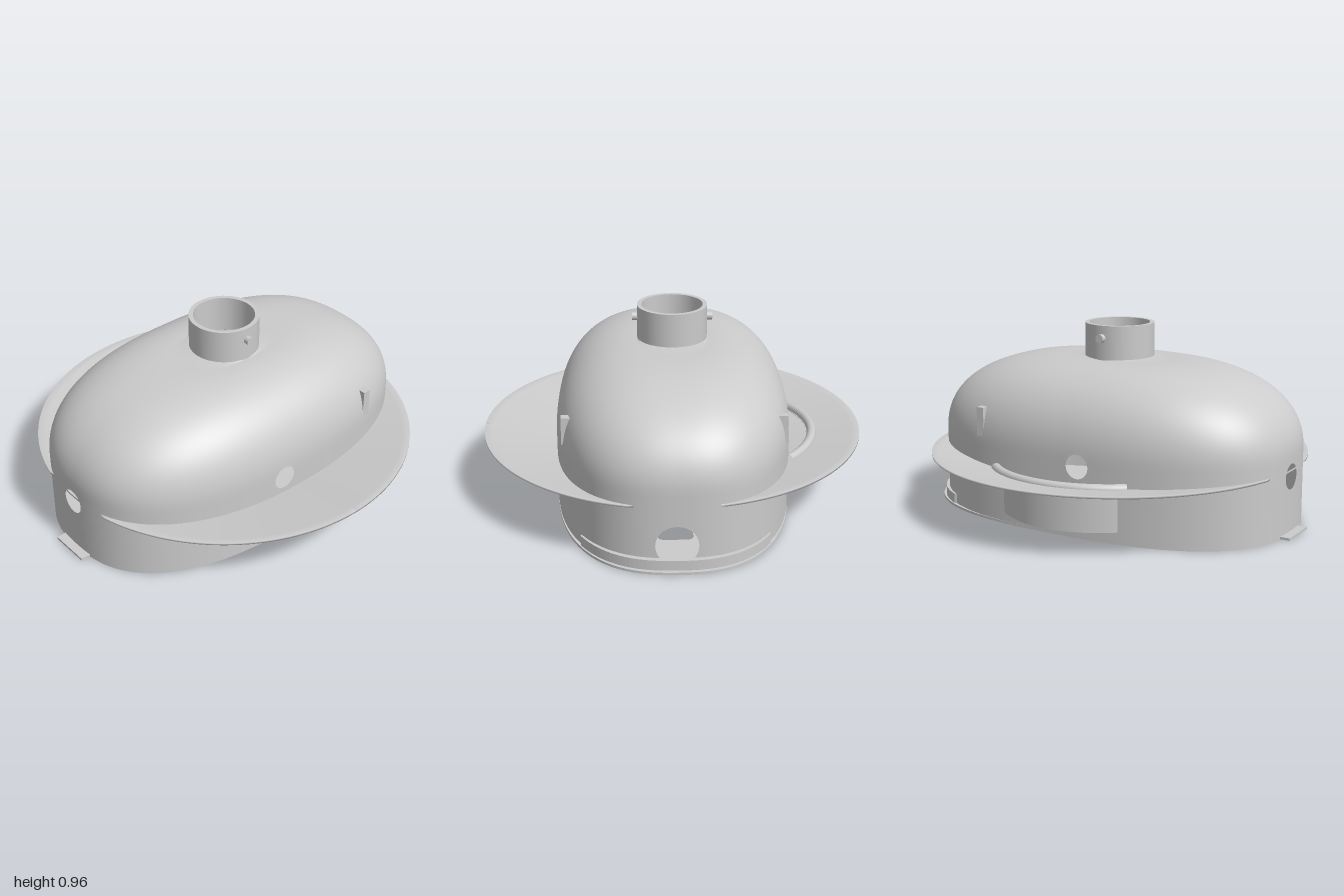
import * as THREE from 'three';

const A = 0.955, B = 0.585, N = 2.5; // footprint half sizes and roundness

// Point on the rounded oval footprint
function footprint(t, a = A, b = B) {
  const c = Math.cos(t), s = Math.sin(t);
  return [a * Math.sign(c) * Math.abs(c) ** (2 / N), b * Math.sign(s) * Math.abs(s) ** (2 / N)];
}
// Distance from centre to footprint along an angle
const reach = (t) => (Math.abs(Math.cos(t) / A) ** N + Math.abs(Math.sin(t) / B) ** N) ** (-1 / N);
const brimY = (r) => 0.322 - 0.06 * ((0.96 - r) / 0.375);

export function createModel() {
  const group = new THREE.Group();
  const solid = new THREE.MeshStandardMaterial({ color: 0xcccccc });
  const thin = new THREE.MeshStandardMaterial({ color: 0xcccccc, side: THREE.DoubleSide });
  const add = (name, geo, mat = solid) => {
    const m = new THREE.Mesh(geo, mat);
    m.name = name;
    group.add(m);
  };
  // Flat outline extruded upward
  const slab = (shape, y, h) => new THREE.ExtrudeGeometry(shape, { depth: h, bevelEnabled: false, curveSegments: 8 })
    .rotateX(-Math.PI / 2).translate(0, y, 0);
  // Hollow pipe along y, from 0 to h
  const pipe = (ro, ri, h) => new THREE.LatheGeometry(
    [[ri, 0], [ro, 0], [ro, 0], [ro, h], [ro, h], [ri, h], [ri, h], [ri, 0]].map((p) => new THREE.Vector2(...p)), 48);

  add('bodyShell', bodyGeometry(), thin);

  // Floor with two rounded windows
  const oval = [];
  for (let i = 0; i < 120; i++) oval.push(new THREE.Vector2(...footprint(i / 120 * Math.PI * 2, A - 0.012, B - 0.012)));
  const floorShape = new THREE.Shape(oval);
  for (const cx of [0.18, 0.62]) {
    const w = 0.085, r = 0.03, h = new THREE.Path();
    for (const [sx, sy, a] of [[1, 1, 0], [-1, 1, 1], [-1, -1, 2], [1, -1, 3]]) {
      h.absarc(cx + sx * (w - r), sy * (w - r), r, a * Math.PI / 2, (a + 1) * Math.PI / 2, false);
    }
    h.closePath();
    floorShape.holes.push(h);
  }
  add('floor', slab(floorShape, 0.006, 0.012));

  // Crescent flange and lip hugging the +x end
  const crescent = (T, off) => {
    const outer = [], inner = [];
    for (let i = 0; i <= 48; i++) {
      const t = -T + 2 * T * i / 48;
      outer.push(new THREE.Vector2(...footprint(t, A + off, B)));
      inner.push(new THREE.Vector2(...footprint(t, A - 0.01, B - 0.01)));
    }
    return new THREE.Shape([...outer, ...inner.reverse()]);
  };
  add('endFlange', slab(crescent(1.55, 0.045), 0, 0.012));
  add('endLip', slab(crescent(0.8, 0.026), 0.012, 0.05));
  add('endTab', new THREE.BoxGeometry(0.06, 0.012, 0.21).translate(-0.97, 0.008, 0));

  // Dished round brim, fitted to the body and dying into it at both x ends
  const profile = [];
  for (let i = 0; i <= 10; i++) profile.push(new THREE.Vector2(0.57 + 0.039 * i, 0));
  for (let i = 10; i >= 0; i--) profile.push(new THREE.Vector2(0.57 + 0.039 * i, -0.01));
  const brim = new THREE.LatheGeometry(profile, 160);
  const bp = brim.attributes.position;
  for (let i = 0; i < bp.count; i++) {
    const t = Math.atan2(bp.getZ(i), bp.getX(i)), edge = reach(t) * 0.995;
    const r = Math.abs(Math.sin(t)) < 0.21 ? edge : Math.max(Math.hypot(bp.getX(i), bp.getZ(i)), edge);
    bp.setXYZ(i, r * Math.cos(t), brimY(r) + bp.getY(i), r * Math.sin(t));
  }
  brim.computeVertexNormals();
  add('brim', brim, thin);

  // Rear curved guard under the brim, and the raised lip above it
  add('rearGuard', new THREE.CylinderGeometry(0.5, 0.5, 0.22, 32, 1, true, Math.PI - 0.72, 1.44)
    .translate(0, 0.17, -0.19), thin);
  const arc = [];
  for (let i = 0; i <= 16; i++) {
    const t = -0.78 + 1.56 * i / 16, x = 0.53 * Math.sin(t), z = -0.19 - 0.53 * Math.cos(t);
    arc.push(new THREE.Vector3(x, brimY(Math.hypot(x, z)) + 0.002, z));
  }
  add('rearLip', new THREE.TubeGeometry(new THREE.CatmullRomCurve3(arc), 40, 0.024, 12));

  // Neck with a pin on each side
  add('neck', pipe(0.175, 0.153, 0.183).translate(0, 0.78, 0));
  for (const s of [1, -1]) {
    add('neckPin', new THREE.CylinderGeometry(0.021, 0.021, 0.045, 20).rotateX(Math.PI / 2).translate(0, 0.9, s * 0.178));
    // Wedge-shaped side catch
    const wedge = new THREE.Shape([[-0.47, 0.565], [-0.54, 0.42], [-0.54, 0.565]].map((p) => new THREE.Vector2(...p)));
    const g = new THREE.ExtrudeGeometry(wedge, { depth: 0.04, bevelEnabled: false })
      .rotateY(Math.PI / 2).translate(-0.02, 0, 0);
    if (s < 0) g.rotateY(Math.PI);
    add('sideCatch', g.translate(0.485, 0, 0));
  }

  // Front spout and inner fittings
  add('frontSpout', pipe(0.053, 0.038, 0.2).rotateX(Math.PI / 2).translate(0, 0.11, 0.545));
  add('innerPipe', pipe(0.06, 0.042, 0.2).rotateZ(Math.PI / 2).translate(-0.5, 0.1, 0));
  add('innerRib', new THREE.BoxGeometry(0.025, 0.02, 0.28).translate(-0.037, 0.027, 0));
  return group;
}

// Shell: straight wall, rounded dome, then a blend into the round neck opening
function bodyGeometry() {
  const rows = []; // scale, height, blend to circle
  for (let i = 0; i <= 32; i++) rows.push([1, 0.38 * i / 32, 0]);
  for (let i = 1; i <= 36; i++) {
    const q = i / 36 * Math.PI / 2, p = 2 / 2.2;
    rows.push([0.3 + 0.7 * Math.max(Math.cos(q), 0) ** p, 0.38 + 0.41 * Math.sin(q) ** p, 0]);
  }
  for (let i = 1; i <= 6; i++) rows.push([0.3, 0.79 + 0.005 * (i / 6) ** 2, i / 6]);

  // Round openings: axis they pass along, side (0 = both), centre and radius
  const holes = [
    { axis: 'z', side: 0, u: -0.11, y: 0.352, r: 0.06 },
    { axis: 'x', side: 1, u: 0, y: 0.122, r: 0.1 },
    { axis: 'x', side: -1, u: 0, y: 0.288, r: 0.063 },
  ];
  const across = (h, p) => (h.axis === 'z' ? p.x : p.z) - h.u;
  const inside = (h, p) => p[h.axis] * (h.side || Math.sign(p[h.axis])) > 0.3
    && Math.hypot(across(h, p), p.y - h.y) < h.r;

  const S = 440, points = [];
  for (const [s, y, k] of rows) {
    for (let j = 0; j < S; j++) {
      const t = j / S * Math.PI * 2, [x, z] = footprint(t);
      points.push(new THREE.Vector3(
        THREE.MathUtils.lerp(x * s, 0.172 * Math.cos(t), k), y,
        THREE.MathUtils.lerp(z * s, 0.172 * Math.sin(t), k)));
    }
  }
  // Leave out the quads inside an opening and remember their corners
  const index = [], corners = new Map(), mid = new THREE.Vector3();
  for (let i = 0; i < rows.length - 1; i++) {
    for (let j = 0; j < S; j++) {
      const a = i * S + j, b = i * S + (j + 1) % S, c = a + S, d = b + S;
      mid.copy(points[a]).add(points[d]).multiplyScalar(0.5);
      const hole = holes.find((h) => inside(h, mid));
      if (hole) [a, b, c, d].forEach((v) => corners.set(v, hole));
      else index.push(a, c, b, b, c, d);
    }
  }
  // Move those corners onto the round edge
  for (const [v, h] of corners) {
    const p = points[v], u = across(h, p), w = p.y - h.y, f = h.r / (Math.hypot(u, w) || 1);
    p[h.axis === 'z' ? 'x' : 'z'] = h.u + u * f;
    p.y = h.y + w * f;
  }
  const g = new THREE.BufferGeometry().setFromPoints(points);
  g.setIndex(index);
  g.computeVertexNormals();
  return g;
}
